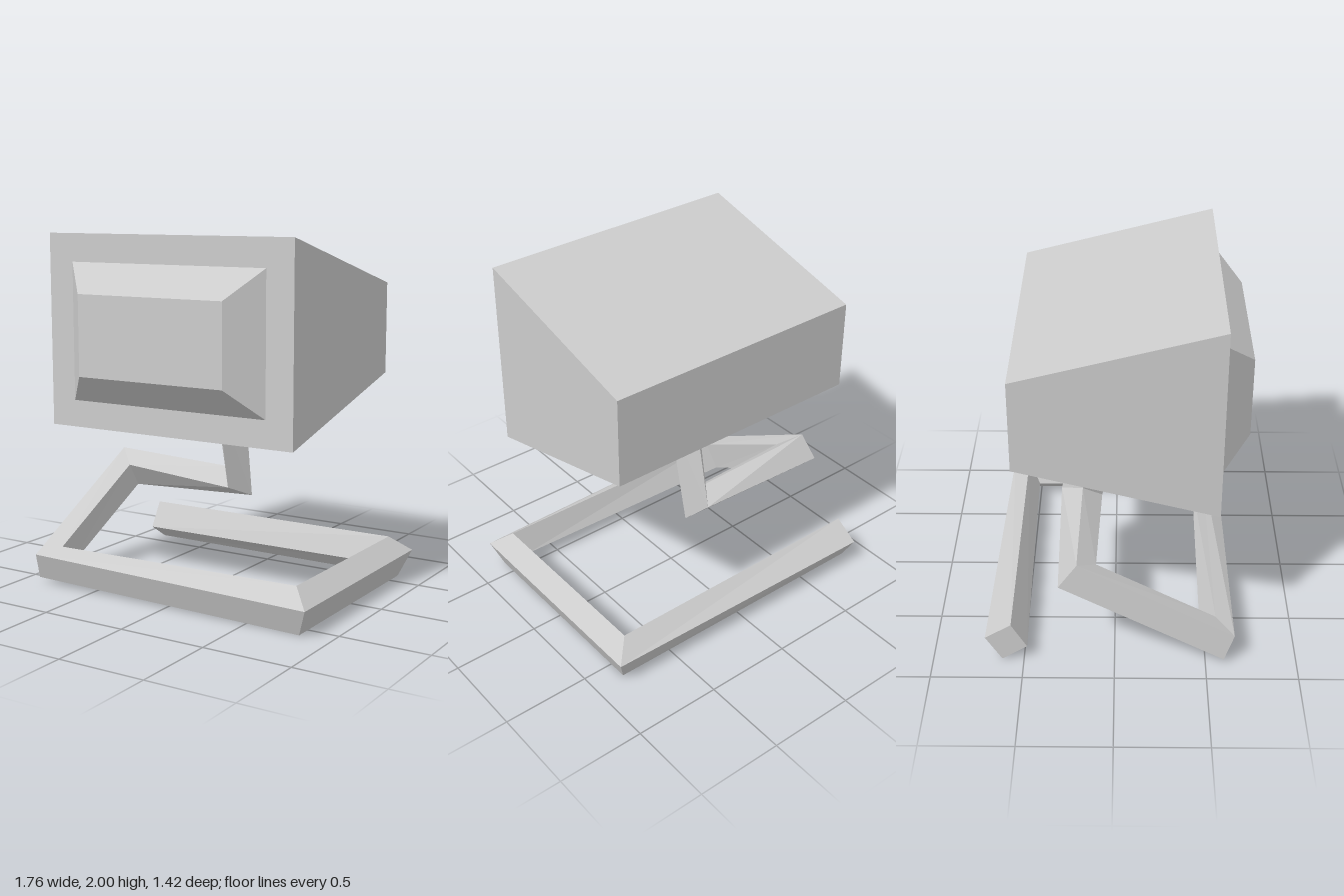
import * as THREE from 'three';

const grey = new THREE.MeshStandardMaterial({ color: 0xcccccc, flatShading: true });
grey.name = 'light grey';

// Skins a row of four-cornered sections and caps both ends, with hard edges.
function loft(name, rings) {
  const pos = [];
  const quad = (a, b, c, d) => pos.push(...a, ...b, ...c, ...a, ...c, ...d);
  for (let r = 0; r < rings.length - 1; r++) {
    const a = rings[r], b = rings[r + 1];
    for (let i = 0; i < 4; i++) {
      const j = (i + 1) % 4;
      quad(a[i], b[i], b[j], a[j]);
    }
  }
  quad(...rings[0]);
  quad(...[...rings[rings.length - 1]].reverse());
  const geo = new THREE.BufferGeometry();
  geo.setAttribute('position', new THREE.Float32BufferAttribute(pos, 3));
  geo.computeVertexNormals();
  const mesh = new THREE.Mesh(geo, grey);
  mesh.name = name;
  return mesh;
}

// Upright rectangular section at depth z
const rect = (x0, x1, y0, y1, z) => [[x1, y1, z], [x1, y0, z], [x0, y0, z], [x0, y1, z]];

export function createModel() {
  const group = new THREE.Group();
  group.name = 'monitorOnBentStand';

  // Tapered housing, taller at the front
  group.add(loft('housing', [
    rect(-0.79, 0.75, 1.21, 1.72, -0.53),
    rect(-0.79, 0.75, 0.93, 2.0, 0.55),
  ]));

  // Raised bevelled screen
  group.add(loft('screen', [
    rect(-0.64, 0.595, 1.075, 1.85, 0.545),
    rect(-0.475, 0.43, 1.24, 1.685, 0.71),
  ]));

  // One square bar with mitred bends: corners run outer, bottom, inner, top
  group.add(loft('stand', [
    // free end of the rear foot
    [[-0.85, 0.15, -0.71], [-0.85, 0, -0.62], [-0.85, 0.09, -0.48], [-0.85, 0.24, -0.565]],
    // rear and front corners of the base
    [[0.88, 0.15, -0.675], [0.82, 0, -0.61], [0.72, 0.09, -0.505], [0.775, 0.24, -0.57]],
    [[0.88, 0.15, 0.65], [0.82, 0, 0.595], [0.72, 0.09, 0.49], [0.775, 0.24, 0.545]],
    [[-0.86, 0.18, 0.655], [-0.88, 0.03, 0.6], [-0.765, 0.07, 0.475], [-0.745, 0.22, 0.555]],
    // top of the sloping arm
    [[-0.86, 0.66, -0.2], [-0.88, 0.53, -0.3], [-0.755, 0.44, -0.2], [-0.745, 0.58, -0.1]],
    // foot and top of the post
    [[-0.105, 0.63, -0.19], [-0.02, 0.575, -0.315], [0.06, 0.47, -0.21], [-0.025, 0.53, -0.08]],
    [[-0.12, 1.12, -0.08], [-0.015, 1.14, -0.2], [0.08, 1.12, -0.085], [-0.025, 1.09, 0.035]],
  ]));

  return group;
}
